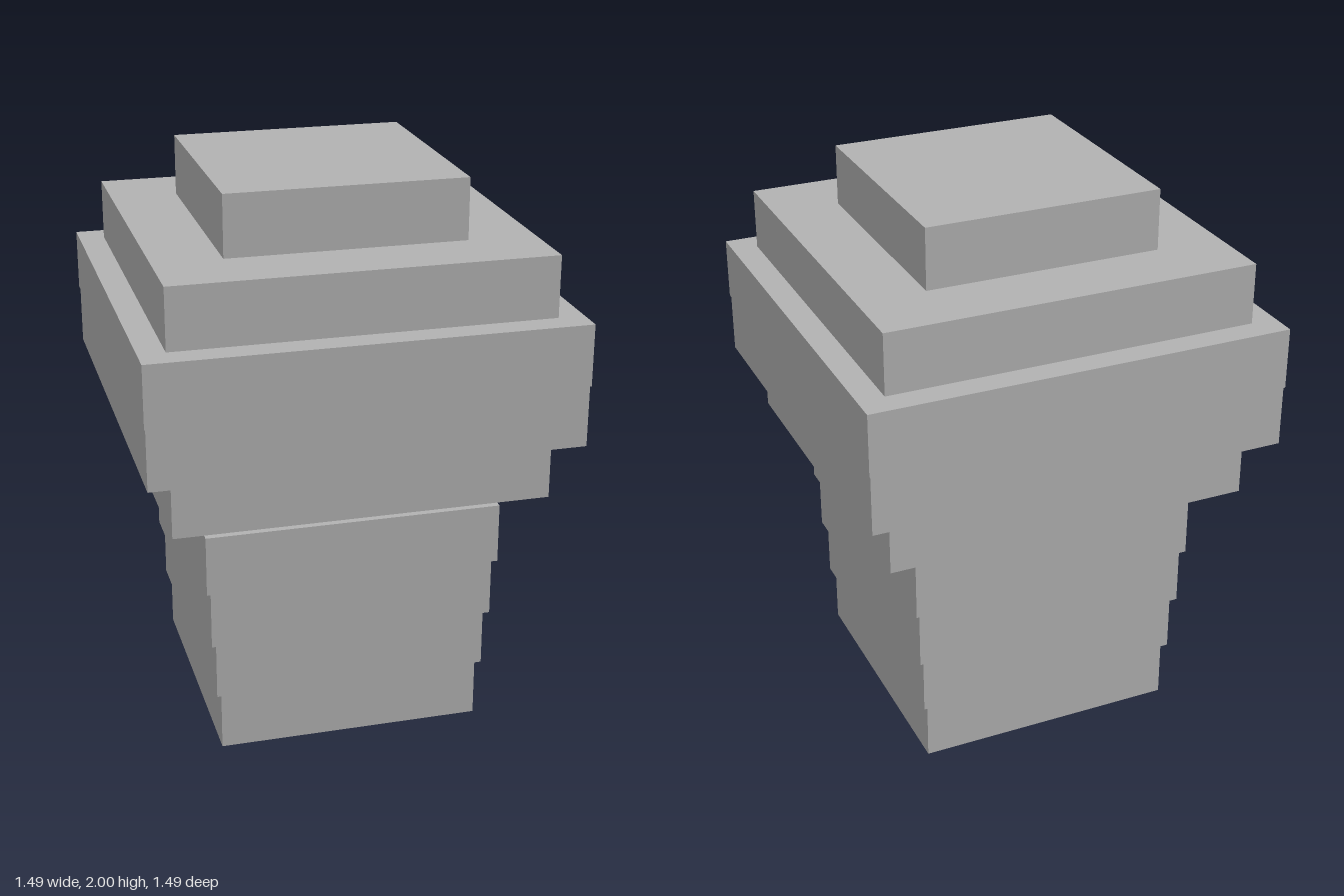
import * as THREE from 'three';

// Stacked slabs: [name, bottom y, top y, half width x, half depth z]
const SLABS = [
  ['baseTier1', 0, 0.215, 0.47, 0.485],
  ['baseTier2', 0.215, 0.425, 0.488, 0.502],
  ['baseTier3', 0.425, 0.637, 0.506, 0.52],
  ['baseTier4', 0.637, 0.852, 0.522, 0.537],
  ['neck', 0.852, 0.922, 0.417, 0.417],
  ['crownLower', 0.922, 1.138, 0.654, 0.654],
  ['crownMiddleLower', 1.138, 1.353, 0.743, 0.743],
  ['crownMiddleUpper', 1.353, 1.57, 0.747, 0.747],
  ['crownUpper', 1.57, 1.785, 0.655, 0.655],
  ['crownTop', 1.785, 2, 0.417, 0.417],
];

export function createModel() {
  const group = new THREE.Group();
  group.name = 'steppedTree';
  const grey = new THREE.MeshStandardMaterial({ color: 0xb2b2b2 });
  grey.name = 'grey';

  for (const [name, y0, y1, hx, hz] of SLABS) {
    const slab = new THREE.Mesh(new THREE.BoxGeometry(hx * 2, y1 - y0, hz * 2), grey);
    slab.name = name;
    slab.position.y = (y0 + y1) / 2;
    group.add(slab);
  }
  return group;
}
